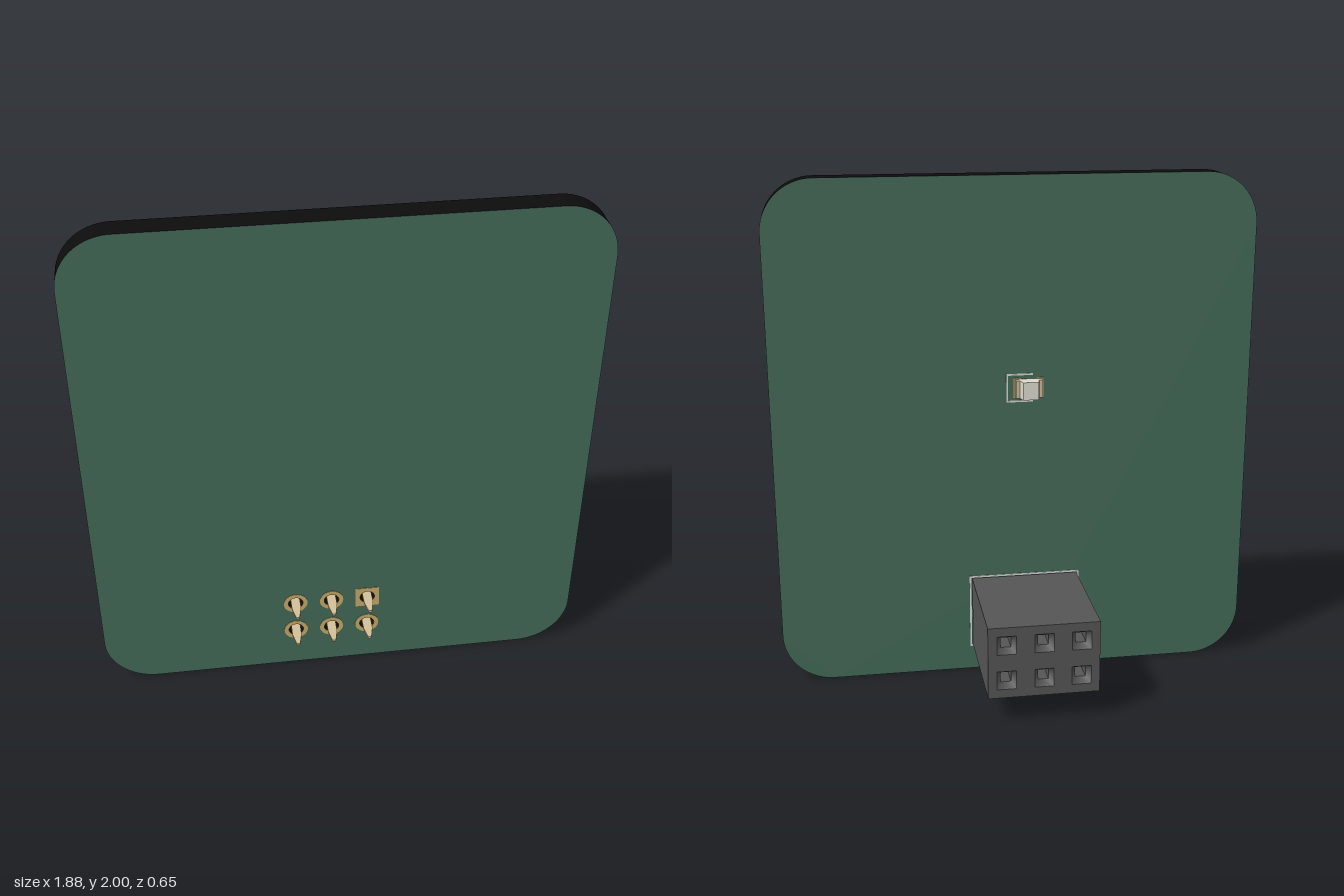
import * as THREE from 'three';

const mat = (color, extra = {}) => new THREE.MeshStandardMaterial({ color, ...extra });

const BACK = 0.15, FRONT = 0.24; // board faces along z
const COLS = [-0.18, -0.037, 0.106], ROWS = [0.182, 0.325];

function rectPath(target, cx, cy, w, h) {
  target.moveTo(cx - w / 2, cy - h / 2);
  target.lineTo(cx + w / 2, cy - h / 2);
  target.lineTo(cx + w / 2, cy + h / 2);
  target.lineTo(cx - w / 2, cy + h / 2);
  target.closePath();
  return target;
}

function circlePath(cx, cy, r) {
  const p = new THREE.Path();
  p.absarc(cx, cy, r, 0, Math.PI * 2, true);
  return p;
}

function eachPin(fn) {
  for (const x of COLS) for (const y of ROWS) fn(x, y);
}

export function createModel() {
  const root = new THREE.Group();
  const green = mat(0x446b59), black = mat(0x0c0c0c), gold = mat(0xc8ab68);
  const plastic = mat(0x555555, { side: THREE.DoubleSide });
  const pinMetal = mat(0xd2bf98), silk = mat(0xd8d8d0);

  const add = (parent, name, geometry, material) => {
    const mesh = new THREE.Mesh(geometry, material);
    mesh.name = name;
    parent.add(mesh);
    return mesh;
  };
  const box = (parent, name, material, x0, x1, y0, y1, z0, z1) => {
    const g = new THREE.BoxGeometry(x1 - x0, y1 - y0, z1 - z0);
    g.translate((x0 + x1) / 2, (y0 + y1) / 2, (z0 + z1) / 2);
    return add(parent, name, g, material);
  };
  const slab = (parent, name, material, shape, z0, z1, curveSegments = 16) => {
    const g = new THREE.ExtrudeGeometry(shape, { depth: z1 - z0, bevelEnabled: false, curveSegments });
    g.translate(0, 0, z0);
    return add(parent, name, g, material);
  };

  // Rounded circuit board with drilled pin holes
  const W = 0.94, H = 2, R = 0.2;
  const outline = new THREE.Shape();
  outline.absarc(W - R, R, R, -Math.PI / 2, 0);
  outline.absarc(W - R, H - R, R, 0, Math.PI / 2);
  outline.absarc(R - W, H - R, R, Math.PI / 2, Math.PI);
  outline.absarc(R - W, R, R, Math.PI, Math.PI * 1.5);
  eachPin((x, y) => outline.holes.push(circlePath(x, y, 0.03)));
  slab(root, 'board', [green, black], outline, BACK, FRONT);

  // Plated pads on both faces; the first pin's pad is square
  const pads = new THREE.Group();
  pads.name = 'pads';
  root.add(pads);
  eachPin((x, y) => {
    const pad = new THREE.Shape();
    if (x === COLS[2] && y === ROWS[1]) rectPath(pad, x, y, 0.094, 0.094);
    else pad.absarc(x, y, 0.047, 0, Math.PI * 2);
    pad.holes.push(circlePath(x, y, 0.029));
    slab(pads, 'frontPad', gold, pad, FRONT, FRONT + 0.002);
    slab(pads, 'backPad', gold, pad, BACK - 0.002, BACK);
  });

  // Socket header behind the board
  const header = new THREE.Group();
  header.name = 'socketHeader';
  root.add(header);
  const X0 = -0.25, X1 = 0.177, Y0 = 0.11, Y1 = 0.398, Z0 = -0.33, LIP = -0.3, Z1 = 0.14;
  const cx = (X0 + X1) / 2, cy = (Y0 + Y1) / 2;
  const block = (name, hole, z0, z1) => {
    const s = rectPath(new THREE.Shape(), cx, cy, X1 - X0, Y1 - Y0);
    eachPin((x, y) => s.holes.push(rectPath(new THREE.Path(), x, y, hole, hole)));
    slab(header, name, plastic, s, z0, z1);
  };
  block('headerLip', 0.074, Z0, LIP);
  block('headerSleeve', 0.04, LIP, -0.06);
  box(header, 'headerBase', plastic, X0, X1, Y0, Y1, -0.06, Z1);
  box(header, 'lowerFoot', plastic, X0, X1, Y0, 0.16, Z1, BACK);
  box(header, 'upperFoot', plastic, X0, X1, 0.348, Y1, Z1, BACK);

  eachPin((x, y) => {
    // Tapered mouth of each socket
    const mouth = new THREE.CylinderGeometry(0.02 * Math.SQRT2, 0.037 * Math.SQRT2, LIP - Z0, 4, 1, true);
    mouth.rotateY(Math.PI / 4);
    mouth.rotateX(Math.PI / 2);
    mouth.translate(x, y, (Z0 + LIP) / 2);
    add(header, 'socketMouth', mouth, plastic);

    // Flat blade pin with a tapered tip
    const blade = new THREE.Shape([
      [-0.018, 0.1], [0.018, 0.1], [0.018, 0.275], [0.009, 0.315], [0.006, 0.325],
      [-0.006, 0.325], [-0.009, 0.315], [-0.018, 0.275],
    ].map(([a, b]) => new THREE.Vector2(a, b)));
    const pin = new THREE.ExtrudeGeometry(blade, { depth: 0.01, bevelEnabled: false });
    pin.rotateX(Math.PI / 2);
    pin.translate(x, y + 0.005, 0);
    add(header, 'pin', pin, pinMetal);
  });

  // Surface-mount lamp: terminals, carrier and tapered lens
  const lamp = new THREE.Group();
  lamp.name = 'lamp';
  root.add(lamp);
  const LX = -0.0525, LY0 = 1.15, LY1 = 1.22;
  box(lamp, 'carrier', mat(0xd6d4c4), LX - 0.036, LX + 0.036, LY0, LY1, 0.124, BACK);
  for (const s of [-1, 1]) {
    const a = LX + s * 0.036, b = LX + s * 0.053;
    box(lamp, 'terminal', mat(0xcdbf9a), Math.min(a, b), Math.max(a, b), LY0, LY1, 0.124, BACK);
    const c = LX + s * 0.045;
    box(lamp, 'solderPad', gold, c - 0.014, c + 0.014, LY0 - 0.004, LY1 + 0.004, BACK - 0.003, BACK);
  }
  const lens = new THREE.BoxGeometry(0.076, LY1 - LY0, 0.034);
  const p = lens.attributes.position;
  for (let i = 0; i < p.count; i++) if (p.getZ(i) < 0) p.setX(i, p.getX(i) * 0.8);
  lens.computeVertexNormals();
  lens.translate(LX, (LY0 + LY1) / 2, 0.107);
  add(lamp, 'lens', lens, mat(0xdedcd0));

  // Printed outlines on the back face
  const marks = new THREE.Group();
  marks.name = 'printedOutlines';
  root.add(marks);
  const t = 0.007;
  const line = (x0, x1, y0, y1) => box(marks, 'outlineStroke', silk, x0, x1, y0, y1, BACK - 0.002, BACK);
  const bracket = (x0, x1, y0, y1) => {
    line(x0, x1, y0, y0 + t);
    line(x0, x1, y1 - t, y1);
    line(x1 - t, x1, y0, y1);
  };
  bracket(-0.07, 0.035, 1.128, 1.242);
  bracket(X0 - 0.01, X1 + 0.01, Y0 - 0.01, Y1 + 0.01);
  line(X0 - 0.01, X0 - 0.01 + t, Y0 - 0.01, Y1 + 0.01);

  return root;
}
